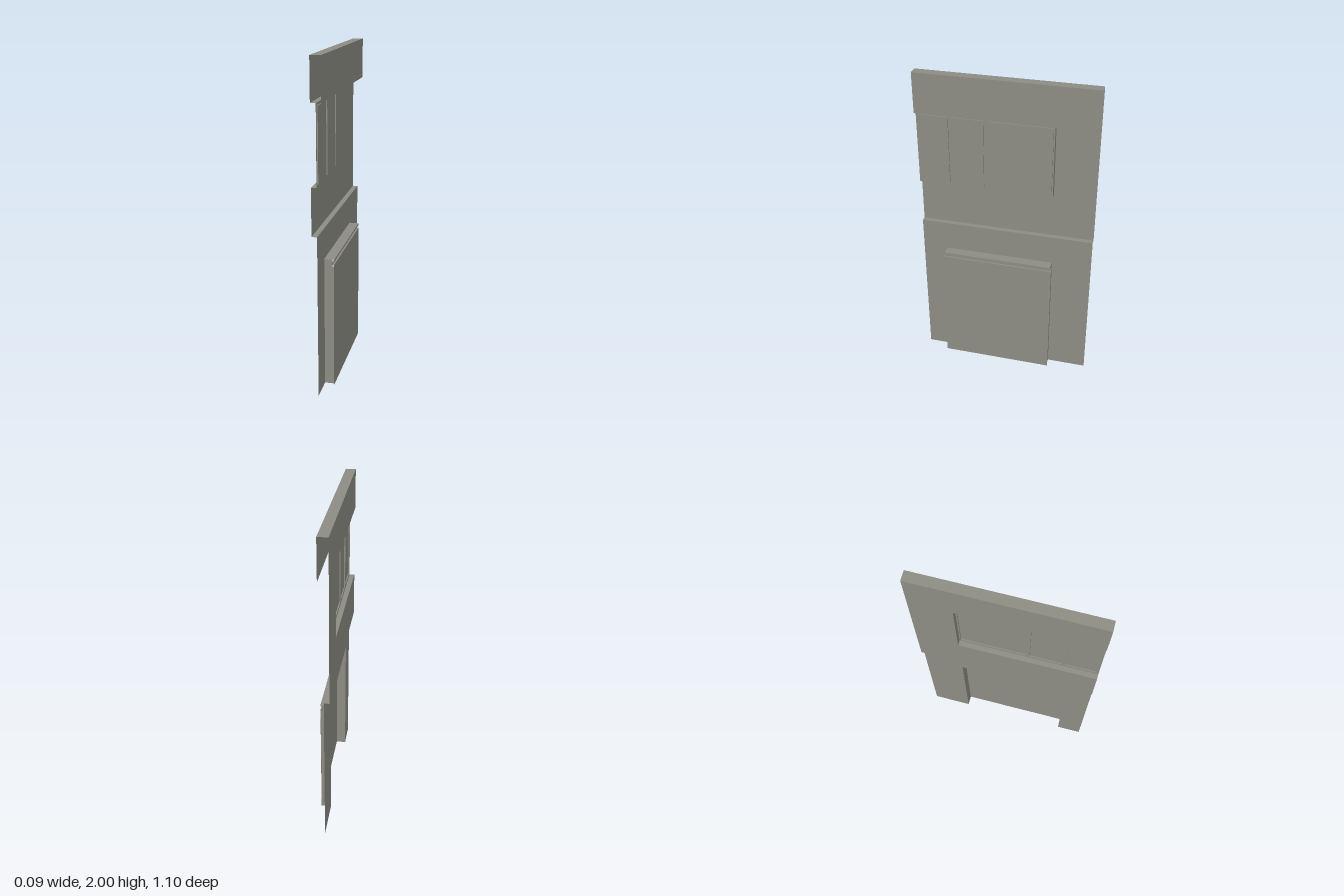
import * as THREE from 'three';

const END = 0.548;                      // half length of the wall along z
const BACK = -0.047, MID = -0.015, FRONT = 0.015, DOOR = 0.046;

export function createModel() {
  const group = new THREE.Group();
  const plaster = new THREE.MeshStandardMaterial({ color: 0x8c8c83, side: THREE.DoubleSide });
  plaster.name = 'warm grey plaster';

  function add(name, geometry) {
    const mesh = new THREE.Mesh(geometry, plaster);
    mesh.name = name;
    group.add(mesh);
    return mesh;
  }
  const toShape = (pts) => new THREE.Shape(pts.map(([a, b]) => new THREE.Vector2(a, b)));
  const rect = (z0, z1, y0, y1) => [[z0, y0], [z1, y0], [z1, y1], [z0, y1]];

  // Upright sheet facing +x, outlined by [z, y] points, with optional holes
  function sheet(name, x, outline, holes = []) {
    const shape = toShape(outline.map(([z, y]) => [-z, y]));
    holes.forEach((h) => shape.holes.push(toShape(h.map(([z, y]) => [-z, y]))));
    return add(name, new THREE.ShapeGeometry(shape).rotateY(Math.PI / 2).translate(x, 0, 0));
  }
  // Level sheet at height y
  function ledge(name, x0, x1, y, z0, z1) {
    return add(name, new THREE.PlaneGeometry(x1 - x0, z1 - z0).rotateX(-Math.PI / 2)
      .translate((x0 + x1) / 2, y, (z0 + z1) / 2));
  }
  // Upright sheet facing along z
  function cheek(name, x0, x1, y0, y1, z) {
    return add(name, new THREE.PlaneGeometry(x1 - x0, y1 - y0)
      .translate((x0 + x1) / 2, (y0 + y1) / 2, z));
  }

  // Upper wall, with a window opening that runs out at one end
  const winEnd = -0.29, winLow = 1.285, winTop = 1.75;
  sheet('upperWall', BACK, [[-END, 1], [END, 1], [END, winLow], [winEnd, winLow],
    [winEnd, winTop], [END, winTop], [END, 2], [-END, 2]]);
  ledge('middleLedge', BACK, MID, 1, -END, END);

  // Fascia along the top, open underneath and at the ends
  sheet('fascia', FRONT, rect(-END, END, winTop, 2));
  ledge('fasciaTop', BACK, FRONT, 2, -END, END);

  // Projecting window surround
  ledge('windowSill', BACK, MID, winLow, winEnd, END);
  ledge('windowHead', BACK, MID, winTop, winEnd, END);
  cheek('windowCheek', BACK, MID, winLow, winTop, winEnd);

  // Raised panes in the window frame
  const paneX = -0.008, y0 = 1.303, y1 = 1.735;
  const panes = [[0.35, 0.535], [0.135, 0.325], [-0.282, 0.112]];
  sheet('windowFrame', MID, rect(winEnd, END, winLow, winTop),
    panes.map(([z0, z1]) => rect(z0, z1, y0, y1)));
  for (const [z0, z1] of panes) {
    sheet('pane', paneX, rect(z0, z1, y0, y1));
    for (const y of [y0, y1]) ledge('paneEdge', MID, paneX, y, z0, z1);
    for (const z of [z0, z1]) cheek('paneEdge', MID, paneX, y0, y1, z);
  }

  // Lower wall, open where the door bay projects
  const bay0 = -0.3, bay1 = 0.39, bayTop = 0.813;
  sheet('lowerWall', MID, [[-END, 0], [bay0, 0], [bay0, bayTop], [bay1, bayTop],
    [bay1, 0], [END, 0], [END, 1], [-END, 1]]);
  for (const z of [bay0, bay1]) cheek('bayCheek', MID, 0.035, 0, bayTop, z);
  for (const z of [bay0, bay1]) cheek('bayCheekEdge', 0.035, DOOR, 0, 0.77, z);
  ledge('bayTop', MID, DOOR, bayTop, bay0, bay1);

  // Door face, a little wider than the bay, with a groove near the top
  const d0 = -0.307, d1 = 0.405, groove = 0.035;
  sheet('doorPanel', DOOR, rect(d0, d1, 0, 0.77));
  ledge('grooveFloor', groove, DOOR, 0.782, d0, d1);
  sheet('doorLip', DOOR, rect(d0, d1, 0.77, 0.782));
  sheet('grooveBack', groove, rect(d0, d1, 0.782, 0.802));
  ledge('grooveTop', groove, DOOR, 0.802, d0, d1);
  sheet('doorHead', DOOR, rect(d0, d1, 0.802, bayTop));

  return group;
}
